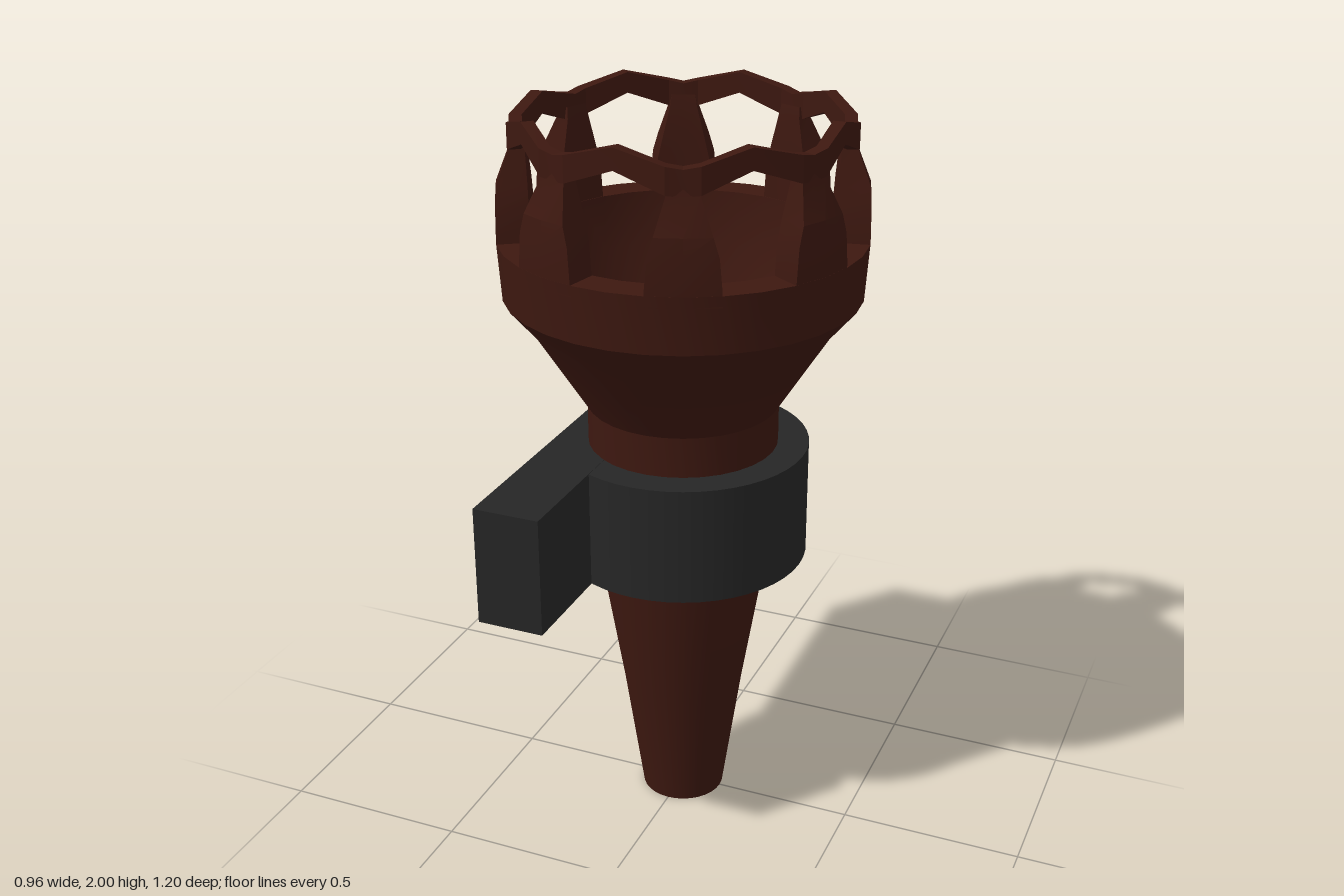
import * as THREE from 'three';
import { toCreasedNormals } from 'three/addons/utils/BufferGeometryUtils.js';

const SECTORS = 8;
const wood = new THREE.MeshStandardMaterial({ color: 0x3d1810 });
const iron = new THREE.MeshStandardMaterial({ color: 0x262626 });

// Point at angle a (0 = front), radius r and height y
const polar = (a, r, y) => [Math.sin(a) * r, y, Math.cos(a) * r];

// Skin a list of equally sized point rings
function loft(rings, closed) {
  const n = rings[0].length;
  const index = [];
  const steps = closed ? rings.length : rings.length - 1;
  for (let i = 0; i < steps; i++) {
    const k = (i + 1) % rings.length;
    for (let j = 0; j < n; j++) {
      const m = (j + 1) % n;
      index.push(i * n + j, i * n + m, k * n + m, i * n + j, k * n + m, k * n + j);
    }
  }
  const geo = new THREE.BufferGeometry();
  geo.setAttribute('position', new THREE.Float32BufferAttribute(rings.flat(2), 3));
  geo.setIndex(index);
  return toCreasedNormals(geo, 0.3);
}

function lathe(profile) {
  const pts = profile.map(([r, y]) => new THREE.Vector2(r, y));
  return toCreasedNormals(new THREE.LatheGeometry(pts, 32), 0.5);
}

export function createModel() {
  const model = new THREE.Group();
  const add = (parent, name, geo, mat) => {
    const mesh = new THREE.Mesh(geo, mat);
    mesh.name = name;
    parent.add(mesh);
    return mesh;
  };

  // Tapered handle, closed inside the clamp
  add(model, 'handle', lathe([[0, 0], [0.115, 0], [0.168, 0.37], [0.235, 0.78], [0.25, 1.0], [0, 1.0]]), wood);

  // Hollow neck and flared bowl with a flat sill on top
  add(model, 'bowl', lathe([
    [0.255, 1.05], [0.255, 1.21], [0.4, 1.44], [0.468, 1.52], [0.478, 1.67],
    [0.39, 1.67], [0.385, 1.52], [0.305, 1.36], [0.25, 1.21], [0.25, 1.05],
  ]), wood);

  // Crown: tapering posts carrying a wavy rim
  const crown = new THREE.Group();
  crown.name = 'crown';
  model.add(crown);

  // Post levels: height, half width, outer radius, inner radius
  const levels = [
    [1.64, 0.093, 0.476, 0.392], [1.68, 0.092, 0.478, 0.392], [1.76, 0.085, 0.476, 0.392],
    [1.81, 0.07, 0.472, 0.392], [1.9, 0.04, 0.436, 0.395], [1.93, 0.034, 0.432, 0.4],
  ];
  const postGeo = loft(levels.map(([y, w, ro, ri]) => {
    const a = w / ro;
    return [
      ...[-a, 0, a].map((t) => polar(t, ro, y)),
      ...[a, 0, -a].map((t) => polar(t, ri, y)),
    ];
  }), false);
  for (let i = 0; i < SECTORS; i++) {
    const post = add(crown, 'crownPost', postGeo, wood);
    post.rotation.y = ((i + 0.5) * Math.PI * 2) / SECTORS;
  }

  // Rim stations in one sector: angle in degrees, outer radius, bottom, top
  const stations = [
    [0, 0.422, 1.945, 2.0], [17, 0.439, 1.9, 1.968],
    [22.5, 0.434, 1.895, 1.96], [28, 0.439, 1.9, 1.968],
  ];
  const rimRings = [];
  for (let i = 0; i < SECTORS; i++) {
    for (const [deg, r, low, high] of stations) {
      const a = ((deg + (i * 360) / SECTORS) * Math.PI) / 180;
      rimRings.push([polar(a, r, high), polar(a, r, low), polar(a, r - 0.033, low), polar(a, r - 0.033, high)]);
    }
  }
  add(crown, 'crownRim', loft(rimRings, true), wood);

  // Wall clamp: round collar and straight bar behind it
  const clamp = new THREE.Group();
  clamp.name = 'clamp';
  clamp.position.y = 0.94;
  model.add(clamp);
  add(clamp, 'collar', new THREE.CylinderGeometry(0.338, 0.338, 0.32, 48), iron);
  const bar = add(clamp, 'bar', new THREE.BoxGeometry(0.18, 0.322, 1.2), iron);
  bar.position.x = -0.225;
  // Trim the collar where it would pass the outer face of the bar
  const pos = clamp.children[0].geometry.attributes.position;
  for (let i = 0; i < pos.count; i++) pos.setX(i, Math.max(pos.getX(i), -0.31));

  return model;
}
